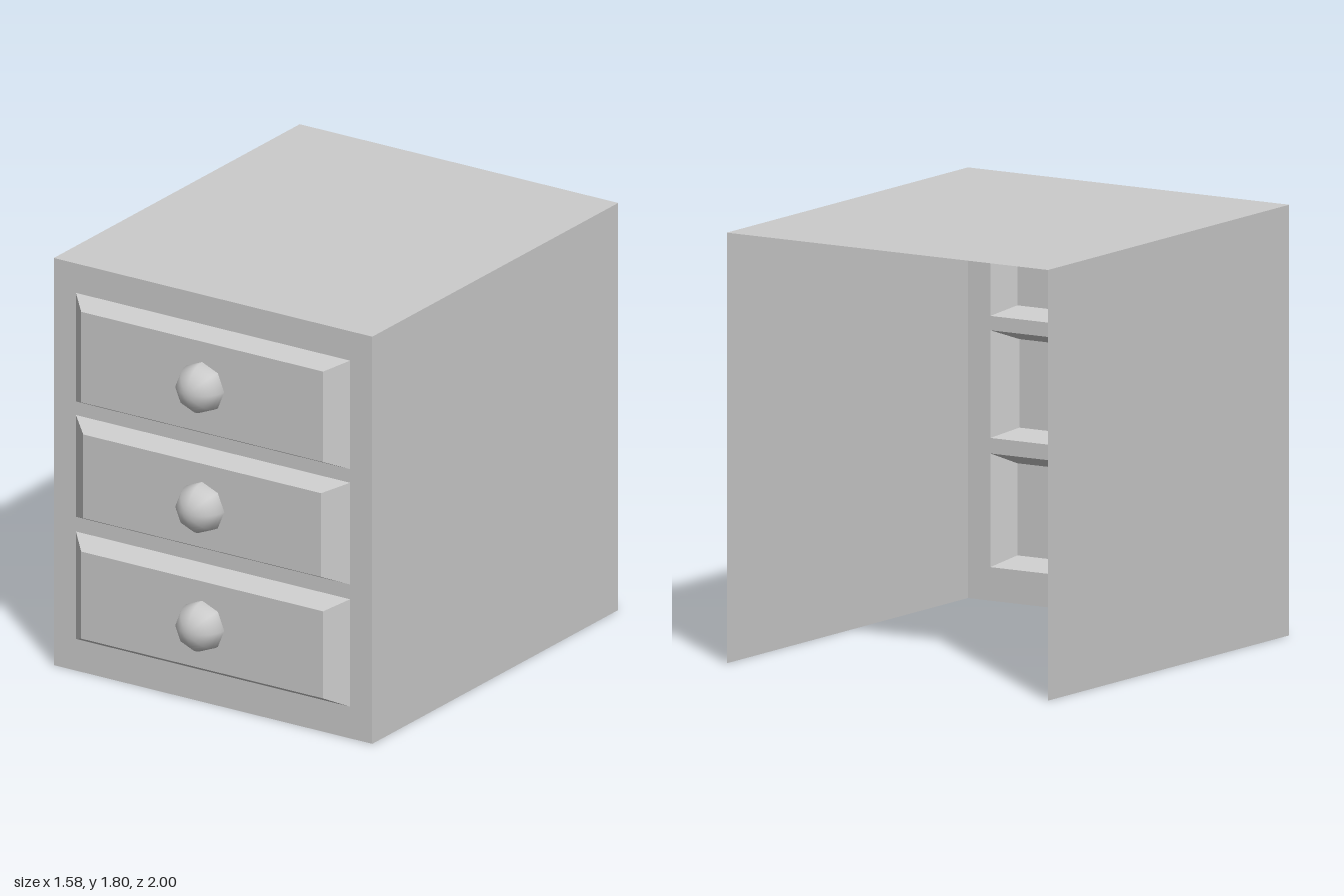
import * as THREE from 'three';

const W = 0.79, H = 1.8, BACK = -1, FRONT = 0.81, FACE = 0.89, KNOB_R = 0.11;

// Each drawer: base edge (bottom, top), raised face (half width, bottom, top), knob height
const DRAWERS = [
  { name: 'topDrawer', base: [1.19, 1.67], face: [0.6, 1.23, 1.63], knobY: 1.43 },
  { name: 'middleDrawer', base: [0.68, 1.13], face: [0.59, 0.72, 1.09], knobY: 0.9 },
  { name: 'bottomDrawer', base: [0.14, 0.615], face: [0.6, 0.185, 0.57], knobY: 0.375 },
];
const DRAWER_W = 0.68;

const material = new THREE.MeshStandardMaterial({ color: 0xcccccc, side: THREE.DoubleSide });

function mesh(name, geometry) {
  const m = new THREE.Mesh(geometry, material);
  m.name = name;
  return m;
}

// Rectangle corners, counter-clockwise seen from the front
const corners = (w, y0, y1, z) => [[-w, y0, z], [w, y0, z], [w, y1, z], [-w, y1, z]];

// Bevelled drawer front, open at the back
function drawerGeometry({ base, face }) {
  const b = corners(DRAWER_W, base[0], base[1], FRONT);
  const f = corners(face[0], face[1], face[2], FACE);
  const points = [];
  const quad = (p, q, r, s) => points.push(...p, ...q, ...r, ...p, ...r, ...s);
  for (let i = 0; i < 4; i++) {
    const j = (i + 1) % 4;
    quad(b[i], b[j], f[j], f[i]);
  }
  quad(...f);
  const g = new THREE.BufferGeometry();
  g.setAttribute('position', new THREE.Float32BufferAttribute(points, 3));
  g.computeVertexNormals();
  return g;
}

export function createModel() {
  const group = new THREE.Group();
  group.name = 'drawerCabinet';
  const depth = FRONT - BACK, midZ = (FRONT + BACK) / 2;

  // Thin shell: top and two sides, open at the back and underneath
  group.add(mesh('topPanel',
    new THREE.PlaneGeometry(2 * W, depth).rotateX(-Math.PI / 2).translate(0, H, midZ)));
  for (const [name, s] of [['leftPanel', 1], ['rightPanel', -1]]) {
    group.add(mesh(name,
      new THREE.PlaneGeometry(depth, H).rotateY(s * Math.PI / 2).translate(s * W, H / 2, midZ)));
  }

  // Front frame with an opening behind each drawer
  const toPoints = (w, y0, y1) => corners(w, y0, y1, 0).map(([x, y]) => new THREE.Vector2(x, y));
  const frame = new THREE.Shape(toPoints(W, 0, H));
  for (const d of DRAWERS) frame.holes.push(new THREE.Path(toPoints(DRAWER_W, ...d.base)));
  group.add(mesh('frontFrame', new THREE.ShapeGeometry(frame).translate(0, 0, FRONT)));

  // Drawers with domed eight-sided knobs
  const knobGeometry = new THREE.SphereGeometry(KNOB_R, 8, 8, 0, Math.PI * 2, 0, Math.PI / 2)
    .rotateX(Math.PI / 2);
  for (const d of DRAWERS) {
    const drawer = new THREE.Group();
    drawer.name = d.name;
    const knob = mesh('knob', knobGeometry);
    knob.position.set(0, d.knobY, FACE);
    drawer.add(mesh('drawerFront', drawerGeometry(d)), knob);
    group.add(drawer);
  }
  return group;
}
